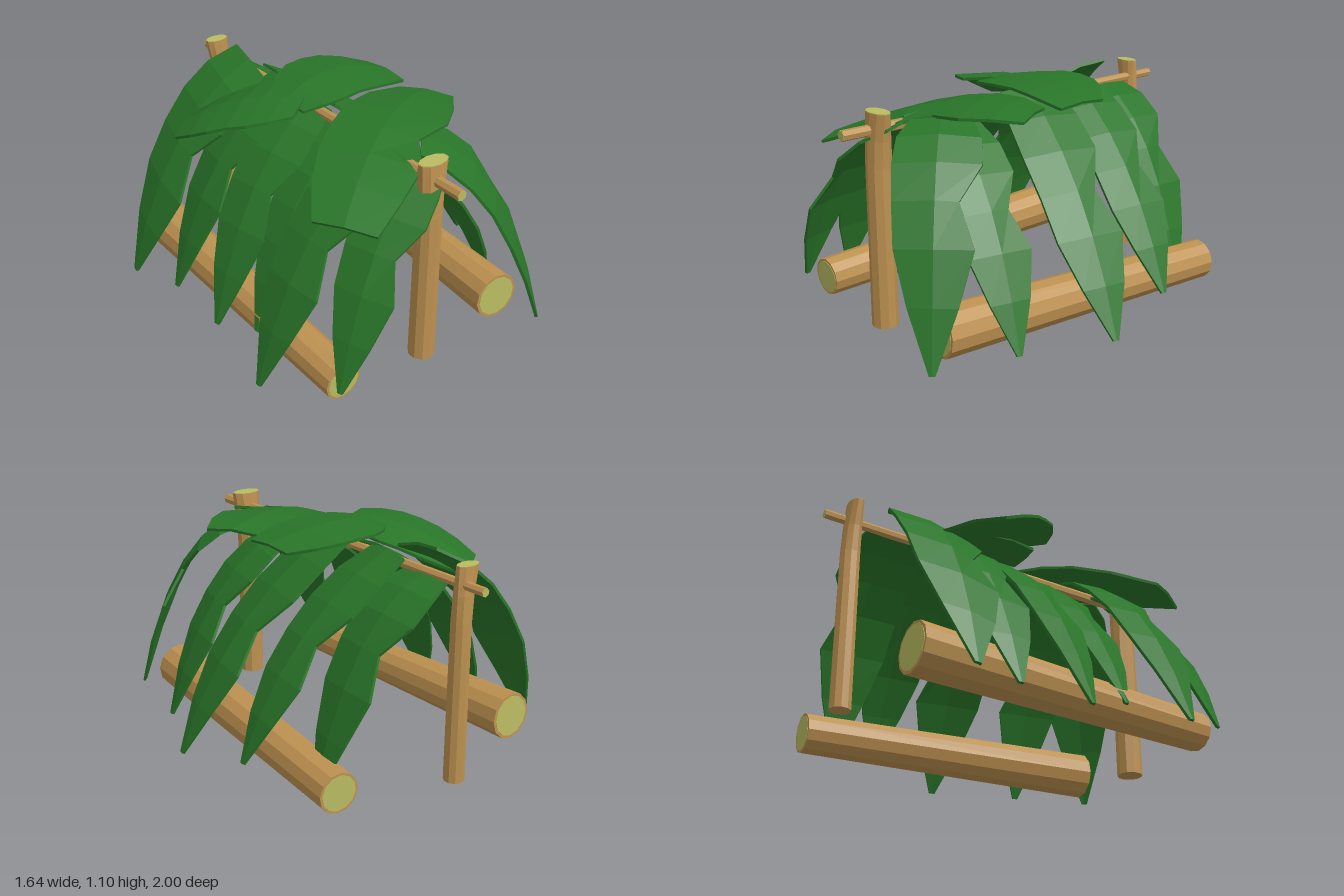
import * as THREE from 'three';

const mat = (color, side = THREE.FrontSide) =>
  new THREE.MeshStandardMaterial({ color, flatShading: true, side });
const V = (p) => new THREE.Vector3(...p);

// Half-width along a blade, as a fraction of its widest point
const POINTED = [0.72, 0.95, 1, 0.95, 0.88, 0.56, 0.07];
const BLUNT = [0.55, 0.85, 1, 1, 0.98, 0.85, 0.6];

// Thin creased leaf swept along a curve: base -> ctrl -> tip, torn at mid-length on one edge
function leafGeometry(base, ctrl, tip, halfWidth, profile, roll, notch) {
  const curve = new THREE.QuadraticBezierCurve3(V(base), V(ctrl), V(tip));
  const side = new THREE.Vector3(base[2] - tip[2], 0, tip[0] - base[0]).normalize();
  side.y = roll;
  side.normalize();
  const thick = 0.014, pos = [], idx = [], n = profile.length;
  profile.forEach((f, i) => {
    const t = i / (n - 1), c = curve.getPoint(t), d = curve.getTangent(t);
    const up = new THREE.Vector3().crossVectors(side, d).normalize();
    const w = f * halfWidth, torn = i === 3 ? 1 - notch : 1;
    const put = (s, h) => pos.push(...c.clone().addScaledVector(side, s * w).addScaledVector(up, h).toArray());
    const droop = -0.1 * w;
    put(-torn, droop); put(0, 0); put(1, droop);
    put(1, droop - thick); put(0, -thick); put(-torn, droop - thick);
  });
  const quad = (a, b, c, d) => idx.push(a, b, c, a, c, d);
  for (let i = 0; i < n - 1; i++) {
    for (let j = 0; j < 6; j++) {
      const k = (j + 1) % 6, r = i * 6, q = r + 6;
      quad(r + j, r + k, q + k, q + j);
    }
  }
  const e = (n - 1) * 6;
  quad(5, 4, 1, 0); quad(4, 3, 2, 1);
  quad(e, e + 1, e + 4, e + 5); quad(e + 1, e + 2, e + 3, e + 4);
  const g = new THREE.BufferGeometry();
  g.setAttribute('position', new THREE.Float32BufferAttribute(pos, 3));
  g.setIndex(idx);
  g.computeVertexNormals();
  return g;
}

export function createModel() {
  const root = new THREE.Group();
  const bark = mat(0xbd9150), cutWood = mat(0xb9bb62);
  const leafMat = mat(0x297529, THREE.DoubleSide);

  // Tapered round timber between two points, with pale cut ends
  function timber(name, a, b, ra, rb, sides, inset) {
    const A = V(a), B = V(b), len = A.distanceTo(B);
    const g = new THREE.Group();
    g.name = name;
    g.add(new THREE.Mesh(new THREE.CylinderGeometry(rb, ra, len, sides), bark));
    [[rb, 1], [ra, -1]].forEach(([r, s]) => {
      const end = new THREE.Mesh(new THREE.CylinderGeometry(r * inset, r * inset, 0.004, sides), cutWood);
      end.position.y = s * len / 2;
      end.name = 'cutEnd';
      g.add(end);
    });
    g.position.copy(A).add(B).multiplyScalar(0.5);
    g.quaternion.setFromUnitVectors(new THREE.Vector3(0, 1, 0), B.sub(A).normalize());
    root.add(g);
  }

  // Two logs on the ground and the ridge pole
  timber('rightLog', [0.55, 0.115, -0.77], [0.4, 0.14, 0.82], 0.1, 0.12, 12, 0.88);
  timber('leftLog', [-0.54, 0.155, -0.77], [-0.55, 0.1, 0.81], 0.12, 0.095, 12, 0.88);
  timber('ridgePole', [-0.06, 0.975, -1], [-0.06, 0.975, 0.98], 0.022, 0.027, 7, 0.95);

  // Posts flaring into a flattened head that carries the pole
  function post(name, x, z, r, height, lean) {
    const g = new THREE.CylinderGeometry(r, r * 1.08, height, 10, 8);
    const p = g.attributes.position;
    for (let i = 0; i < p.count; i++) {
      const h = p.getY(i) / height + 0.5;
      const flare = THREE.MathUtils.smoothstep(h, 0.8, 1);
      p.setX(i, p.getX(i) * (1 + 0.35 * flare) + lean * flare);
      p.setZ(i, p.getZ(i) * (1 - 0.25 * flare));
    }
    const shaft = new THREE.Mesh(g, bark);
    shaft.position.set(x, 0.01 + height / 2, z);
    shaft.name = name;
    const cap = new THREE.Mesh(new THREE.CylinderGeometry(r, r, 0.006, 10), cutWood);
    cap.scale.set(1.3, 1, 0.73);
    cap.position.set(lean, height / 2, 0);
    cap.name = 'cutTop';
    shaft.add(cap);
    root.add(shaft);
  }
  post('frontPost', -0.062, 0.79, 0.06, 1.045, 0.01);
  post('backPost', -0.065, -0.86, 0.047, 1.05, -0.025);

  function addLeaf(name, ...shape) {
    const leaf = new THREE.Mesh(leafGeometry(...shape), leafMat);
    leaf.name = name;
    root.add(leaf);
  }

  // Side leaves: base, tip, half-width, arch height, roll
  const sideLeaves = {
    rightLeaf: [
      [[0.1, 1.02, 0.55], [0.55, 0.04, 0.97], 0.2, 0.96, 0],
      [[0, 0.95, 0.4], [0.63, 0.02, 0.54], 0.18, 0.76, 0],
      [[0, 1.05, -0.05], [0.82, 0.03, 0.12], 0.2, 0.76, 0],
      [[-0.03, 1.03, -0.4], [0.74, 0.12, -0.29], 0.18, 0.78, 0],
      [[-0.06, 0.98, -0.64], [0.56, 0.03, -0.6], 0.19, 0.88, 0],
    ],
    leftLeaf: [
      [[-0.02, 1, 0.68], [-0.63, 0.12, 0.88], 0.17, 0.86, 0],
      [[-0.08, 1.02, 0.5], [-0.82, 0.02, 0.52], 0.19, 0.85, 0],
      [[-0.04, 0.98, 0.2], [-0.66, 0.1, 0.28], 0.17, 0.8, 0],
      [[-0.05, 1, -0.08], [-0.73, 0.02, 0.03], 0.18, 0.84, 0],
      [[-0.05, 1.03, -0.3], [-0.73, 0.03, -0.35], 0.18, 0.84, 0],
      [[-0.11, 1.075, -0.52], [-0.82, 0.02, -0.62], 0.22, 0.87, 0.2],
    ],
  };
  for (const [name, list] of Object.entries(sideLeaves)) {
    for (const [base, tip, w, arch, roll] of list) {
      const ctrl = [0, 1, 2].map((k) => THREE.MathUtils.lerp(base[k], tip[k], 0.66));
      ctrl[1] = arch;
      addLeaf(name, base, ctrl, tip, w, POINTED, roll, 0.45);
    }
  }

  // Broad leaves laid flat over the ridge
  addLeaf('ridgeLeaf', [-0.18, 1.08, 0.03], [-0.33, 1.09, -0.24], [-0.53, 0.88, -0.47], 0.26, BLUNT, 0, 0);
  addLeaf('ridgeLeaf', [0.4, 1.05, 0.25], [0, 1.14, 0.35], [-0.5, 0.87, 0.74], 0.25, BLUNT, 0, 0.3);
  addLeaf('ridgeLeaf', [-0.23, 1.07, -0.04], [0.09, 1.16, -0.17], [0.4, 1.05, -0.05], 0.23, BLUNT, 0, 0);

  return root;
}
